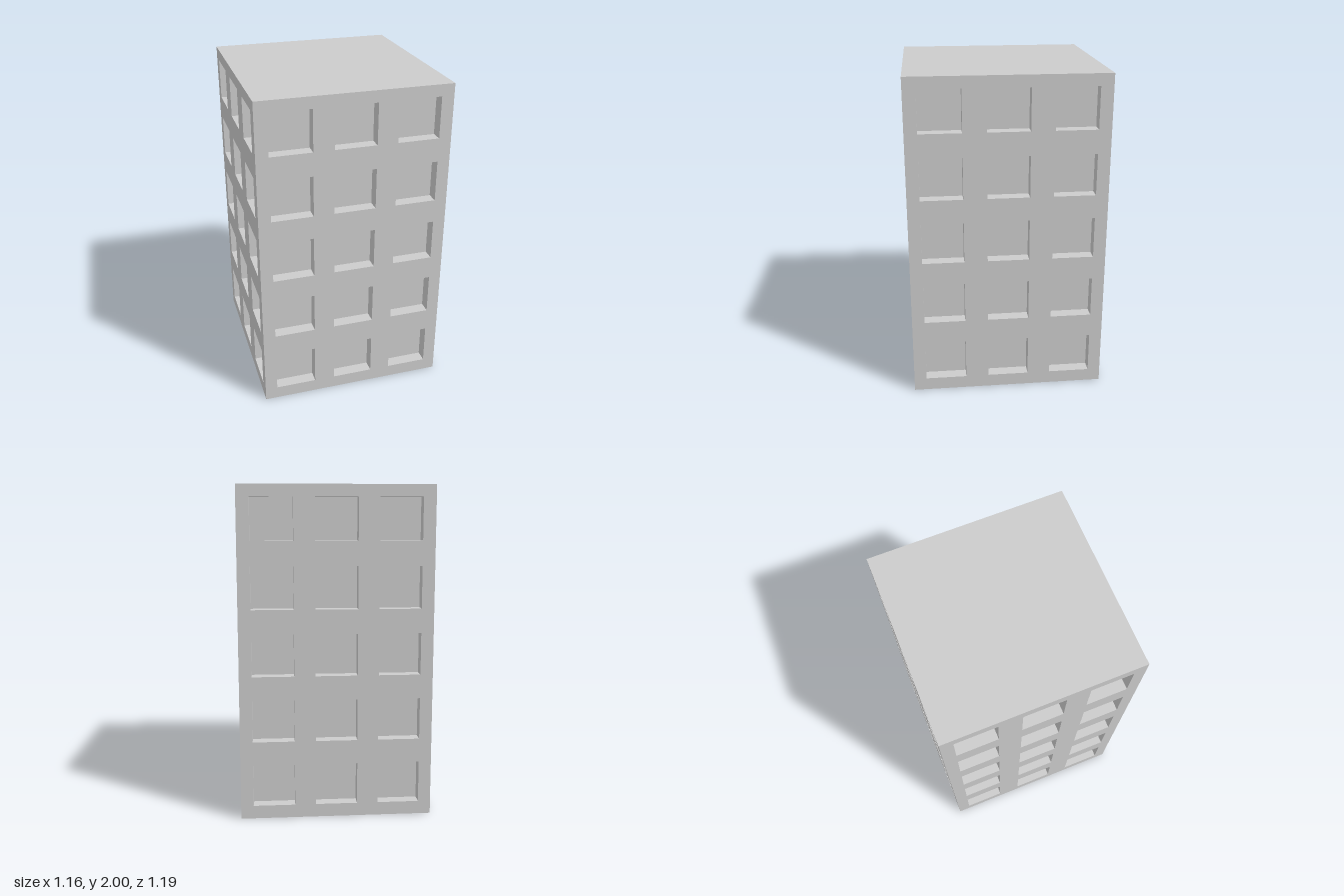
import * as THREE from 'three';
import { mergeGeometries } from 'three/addons/utils/BufferGeometryUtils.js';

const HALF_X = 0.581, HALF_Z = 0.597, HEIGHT = 2;
const WINDOW = 0.253, DEPTH = 0.075;
const FLOORS = 5, FIRST = 0.206, PITCH = 0.399;

const material = new THREE.MeshStandardMaterial({ color: 0xcccccc, flatShading: true });

// Counter-clockwise rectangle from its centre and size
function rectangle(PathType, cx, cy, w, h) {
  const path = new PathType();
  path.moveTo(cx - w / 2, cy - h / 2);
  path.lineTo(cx + w / 2, cy - h / 2);
  path.lineTo(cx + w / 2, cy + h / 2);
  path.lineTo(cx - w / 2, cy + h / 2);
  path.closePath();
  return path;
}

// Open-fronted niche facing +z: a back pane and four inward-facing reveals
function recessGeometry() {
  const pane = new THREE.PlaneGeometry(WINDOW, WINDOW).translate(0, 0, -DEPTH);
  const reveals = [0, 1, 2, 3].map((i) =>
    new THREE.PlaneGeometry(WINDOW, DEPTH)
      .rotateX(-Math.PI / 2)
      .translate(0, -WINDOW / 2, -DEPTH / 2)
      .rotateZ(i * Math.PI / 2));
  return mergeGeometries([pane, ...reveals]);
}

// One facade: a pierced wall face with a grid of recessed windows behind it
function facade(name, width, columnPitch, recess) {
  const group = new THREE.Group();
  group.name = name;
  const shape = rectangle(THREE.Shape, 0, HEIGHT / 2, width, HEIGHT);
  for (let floor = 0; floor < FLOORS; floor++) {
    for (let column = -1; column <= 1; column++) {
      const x = column * columnPitch, y = FIRST + floor * PITCH;
      shape.holes.push(rectangle(THREE.Path, x, y, WINDOW, WINDOW));
      const mesh = new THREE.Mesh(recess, material);
      mesh.name = 'windowRecess';
      mesh.position.set(x, y, 0);
      group.add(mesh);
    }
  }
  const wall = new THREE.Mesh(new THREE.ShapeGeometry(shape), material);
  wall.name = 'wall';
  group.add(wall);
  return group;
}

export function createModel() {
  const model = new THREE.Group();
  model.name = 'towerBlock';
  const recess = recessGeometry();

  // Four facades, turned to face outwards
  ['frontFacade', 'leftFacade', 'backFacade', 'rightFacade'].forEach((name, i) => {
    const side = i % 2 === 1;
    const wall = facade(name, 2 * (side ? HALF_Z : HALF_X), side ? 0.394 : 0.379, recess);
    const angle = i * Math.PI / 2;
    wall.rotation.y = angle;
    wall.position.set(Math.sin(angle) * HALF_X, 0, Math.cos(angle) * HALF_Z);
    model.add(wall);
  });

  // Flat roof and base
  for (const [name, y, turn] of [['roof', HEIGHT, -1], ['base', 0, 1]]) {
    const slab = new THREE.Mesh(new THREE.PlaneGeometry(2 * HALF_X, 2 * HALF_Z), material);
    slab.name = name;
    slab.rotation.x = turn * Math.PI / 2;
    slab.position.y = y;
    model.add(slab);
  }
  return model;
}
